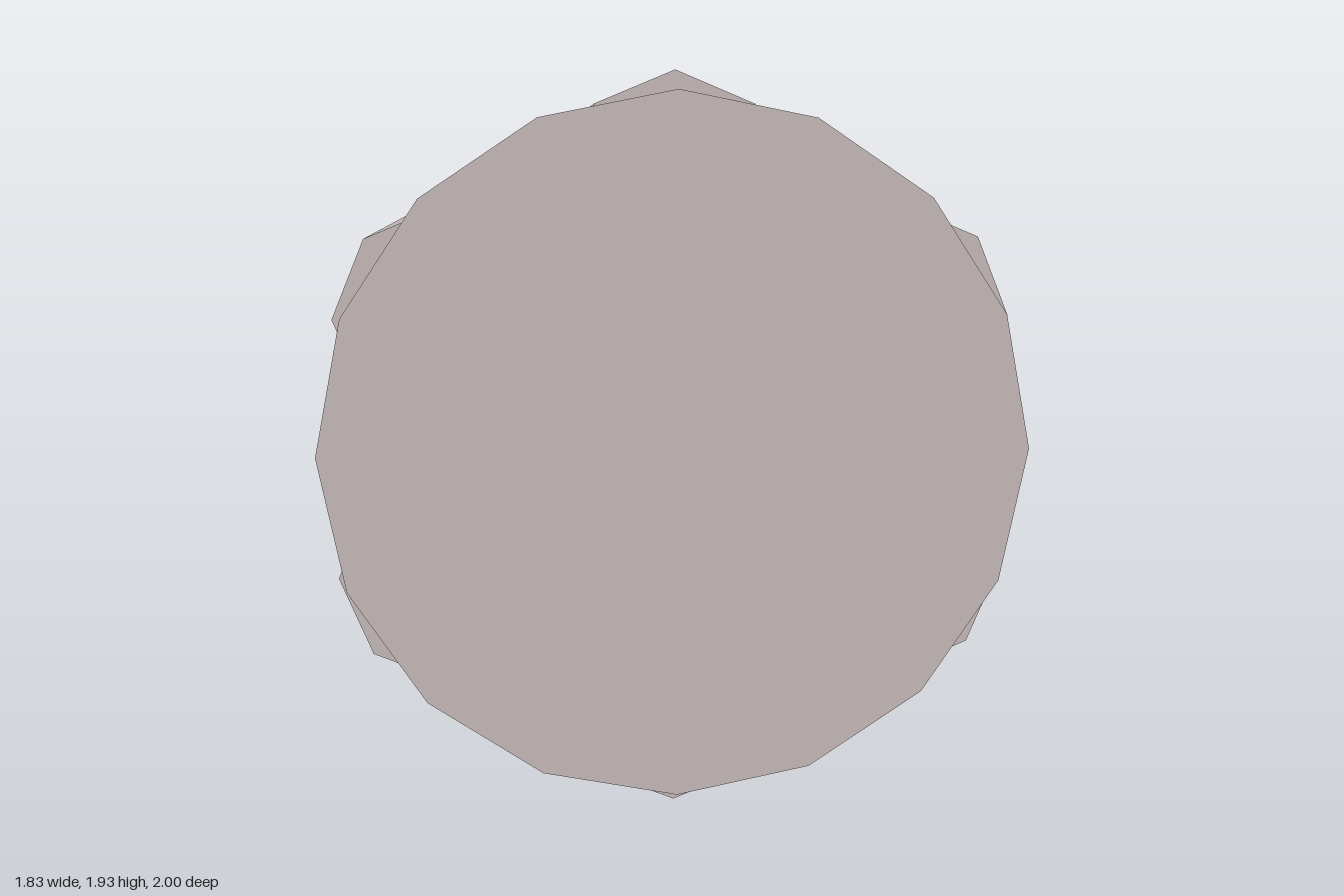
import * as THREE from 'three';

export function createModel() {
  const model = new THREE.Group();
  model.name = 'roller';
  const shell = new THREE.MeshStandardMaterial({ name: 'warm grey', color: 0xc4b9b8 });
  const dark = new THREE.MeshStandardMaterial({ name: 'dark grey', color: 0x858085 });
  const axisY = 0.97;

  // Cylinder lying along z, between z0 and z1
  function drum(name, radius, z0, z1, sides, material, x = 0, y = 0) {
    const geometry = new THREE.CylinderGeometry(radius, radius, z1 - z0, sides);
    geometry.rotateX(Math.PI / 2);
    const mesh = new THREE.Mesh(geometry, material);
    mesh.name = name;
    mesh.position.set(x, axisY + y, (z0 + z1) / 2);
    model.add(mesh);
  }

  // Core between the two end discs
  drum('core', 0.68, -0.76, 0.8, 16, dark);

  // End discs and rear hub
  drum('frontDisc', 0.915, 0.78, 1, 16, shell);
  drum('backDisc', 0.915, -0.965, -0.745, 16, shell);
  drum('rearHub', 0.205, -1, -0.95, 8, shell);

  // Ring of six eight-sided rods, all keeping the same orientation
  for (let i = 0; i < 6; i++) {
    const a = (i * Math.PI) / 3;
    drum('rod' + (i + 1), 0.29, -0.86, 0.9, 8, shell, 0.677 * Math.sin(a), 0.677 * Math.cos(a));
  }
  return model;
}
